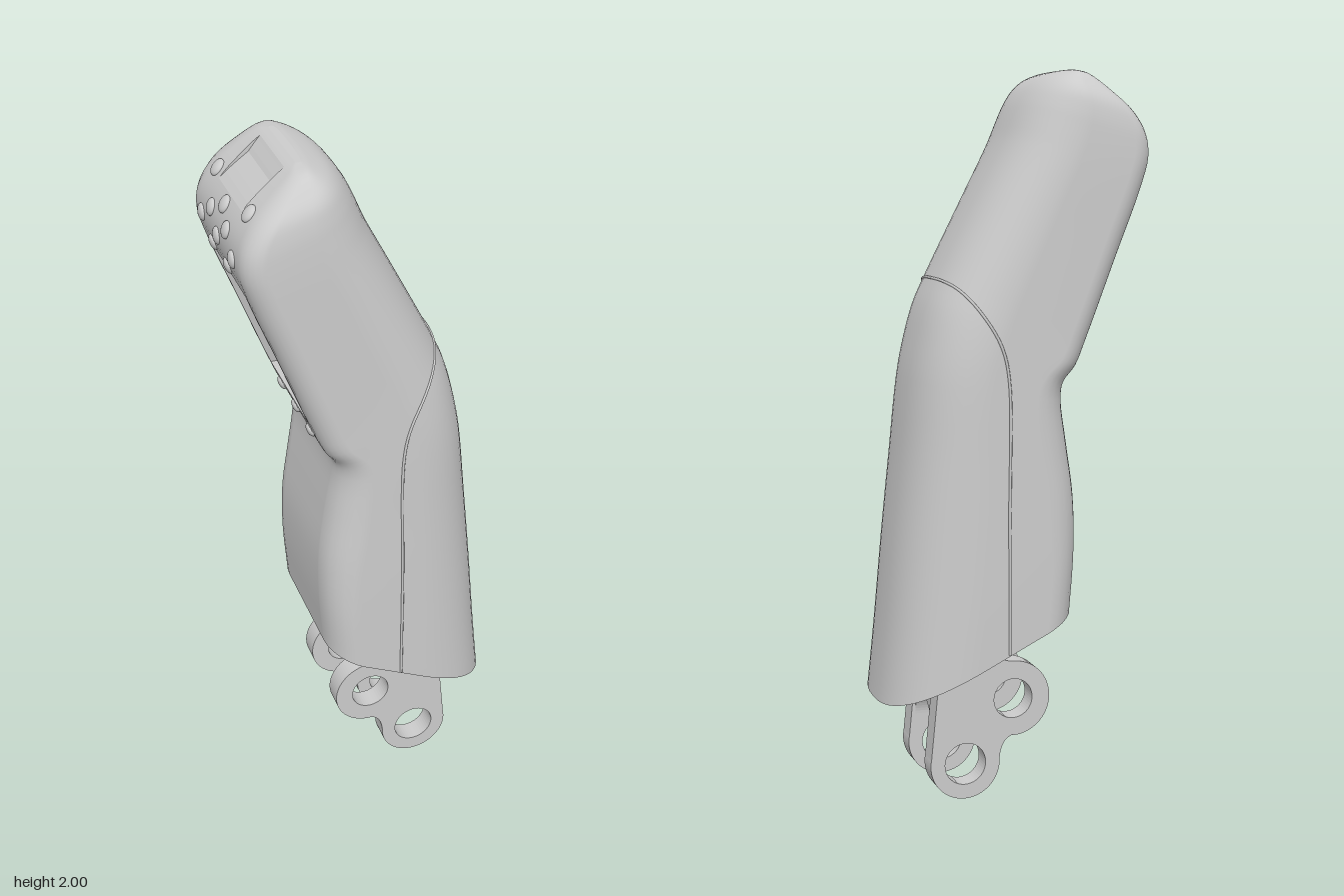
import * as THREE from 'three';

const V = (x, y, z) => new THREE.Vector3(x, y, z);
const material = new THREE.MeshStandardMaterial({ color: 0xcccccc, side: THREE.DoubleSide });

// Body sections: face-side x, y, back-side x, y, half width, face corner radius
const SECTIONS = [
  [-0.15, 0.53, 0.365, 0.275, 0.263, 0.1], [-0.162, 0.7, 0.345, 0.46, 0.263, 0.1],
  [-0.16, 0.85, 0.32, 0.72, 0.261, 0.1], [-0.14, 1.0, 0.295, 0.95, 0.258, 0.1],
  [-0.122, 1.12, 0.27, 1.17, 0.256, 0.09], [-0.125, 1.165, 0.25, 1.27, 0.255, 0.075],
  [-0.155, 1.21, 0.222, 1.37, 0.254, 0.06], [-0.185, 1.28, 0.185, 1.45, 0.253, 0.06],
  [-0.27, 1.5, 0.08, 1.655, 0.252, 0.06], [-0.343, 1.69, 0.0, 1.81, 0.252, 0.06],
  [-0.363, 1.765, -0.03, 1.88, 0.25, 0.06], [-0.357, 1.825, -0.05, 1.92, 0.246, 0.06],
  [-0.325, 1.885, -0.075, 1.955, 0.235, 0.06], [-0.27, 1.94, -0.105, 1.98, 0.207, 0.05],
  [-0.215, 1.985, -0.15, 1.997, 0.168, 0.028], [-0.19, 1.998, -0.17, 2.0, 0.115, 0.009],
];
const LAST = SECTIONS.length - 1, SUB = 4, POWER = 2.6;
const SCREEN = [7, 9], NOTCH = [12, 14];
const faceCurve = new THREE.CatmullRomCurve3(SECTIONS.map(s => V(s[0], s[1], s[4])));
const backCurve = new THREE.CatmullRomCurve3(SECTIONS.map(s => V(s[2], s[3], s[5])));

// Interpolated section at u (0..LAST)
function section(u) {
  const f = faceCurve.getPoint(u / LAST), b = backCurve.getPoint(u / LAST);
  const len = Math.hypot(b.x - f.x, b.y - f.y);
  const r = Math.min(b.z, len * 0.42), w = f.z, flat = w - r;
  const dx = (b.x - f.x) / len, dy = (b.y - f.y) / len;
  return {
    f, dx, dy, len, r, w, flat, back: len * 0.55,
    notch: Math.min(0.1, flat * 0.7), screen: Math.min(0.17, flat * 0.95),
    at: (s, z) => [f.x + dx * s, f.y + dy * s, z],
  };
}

// Half outline from the middle of the face round to the middle of the back
function halfOutline(u) {
  const c = section(u), pts = [c.at(0, 0), c.at(0, c.notch), c.at(0, c.screen)];
  for (let i = 0; i <= 6; i++) {
    const a = i / 6 * Math.PI / 2;
    pts.push(c.at(c.r * (1 - Math.cos(a)), c.flat + c.r * Math.sin(a)));
  }
  for (let i = 1; i <= 14; i++) {
    const a = i / 14 * Math.PI / 2;
    const s = c.len - c.back + c.back * Math.pow(Math.sin(a), 2 / POWER);
    pts.push(c.at(s, i === 14 ? 0 : c.w * Math.pow(Math.cos(a), 2 / POWER)));
  }
  return pts;
}

// Surface through rows of points; skip(i, j) leaves openings
function gridGeometry(rows, closed, skip = () => false) {
  const n = rows[0].length, index = [];
  for (let i = 0; i < rows.length - 1; i++) {
    for (let j = 0; j < (closed ? n : n - 1); j++) {
      if (skip(i, j, n)) continue;
      const k = (j + 1) % n, a = i * n + j, b = i * n + k;
      index.push(a, b, b + n, a, b + n, a + n);
    }
  }
  const g = new THREE.BufferGeometry();
  g.setAttribute('position', new THREE.Float32BufferAttribute(rows.flat(2), 3));
  g.setIndex(index);
  g.computeVertexNormals();
  return g;
}

// Flat cap over a ring
function capGeometry(ring, up) {
  const mid = [0, 1, 2].map(k => ring.reduce((s, p) => s + p[k], 0) / ring.length);
  const rows = [ring, ring.map(() => mid)];
  return gridGeometry(up ? rows : rows.reverse(), true);
}

// Sunken pocket in the face, following the openings left in the body
function pocketGeometry([u0, u1], key, inset, depth) {
  const count = (u1 - u0) * SUB, rows = [];
  const row = (u, d) => {
    const c = section(u), h = c[key];
    return [c.at(0, -h), c.at(d, inset - h), c.at(d, h - inset), c.at(0, h)];
  };
  rows.push(row(u0, 0));
  for (let i = 0; i <= count; i++) rows.push(row(u0 + i / SUB, depth(i / count)));
  rows.push(row(u1, 0));
  const g = gridGeometry(rows, false).toNonIndexed();
  g.computeVertexNormals();
  return g;
}

// Point on the body's +z side above a given x, y
function onSurface(x, y) {
  let lo = 0, hi = 9;
  for (let i = 0; i < 30; i++) {
    const u = (lo + hi) / 2, c = section(u);
    if (c.dx * (y - c.f.y) - c.dy * (x - c.f.x) > 0) lo = u; else hi = u;
  }
  const c = section(lo), s = (x - c.f.x) * c.dx + (y - c.f.y) * c.dy;
  const q = THREE.MathUtils.clamp((s - c.len + c.back) / c.back, 0, 1);
  return V(x, y, c.w * Math.pow(1 - Math.pow(q, POWER), 1 / POWER));
}

export function createModel() {
  const model = new THREE.Group();
  const add = (name, geometry, parent = model) => {
    const mesh = new THREE.Mesh(geometry, material);
    mesh.name = name;
    parent.add(mesh);
    return mesh;
  };

  // Body shell with openings for the screen and the notch
  const rings = [];
  for (let i = 0; i <= LAST * SUB; i++) {
    const half = halfOutline(i / SUB);
    rings.push([...half, ...half.slice(1, -1).reverse().map(([x, y, z]) => [x, y, -z])]);
  }
  const inside = (i, [a, b]) => i >= a * SUB && i < b * SUB;
  add('body', gridGeometry(rings, true, (i, j, n) => {
    const k = Math.min(j, n - 1 - j);
    return (inside(i, SCREEN) && k < 2) || (inside(i, NOTCH) && k < 1);
  }));
  add('bodyBase', capGeometry(rings[0], false));
  add('bodyTop', capGeometry(rings[rings.length - 1], true));
  add('screenRecess', pocketGeometry(SCREEN, 'screen', 0.02, () => 0.03));
  add('topNotch', pocketGeometry(NOTCH, 'notch', 0, t => 0.024 * (1 - Math.abs(2 * t - 1))));

  // Raised seam round the back panel
  const path = new THREE.CatmullRomCurve3([V(0.05, 0.435, 0), V(0.05, 0.8, 0), V(0.05, 1.18, 0),
    V(0.07, 1.27, 0), V(0.12, 1.36, 0), V(0.165, 1.42, 0), V(0.189, 1.441, 0)]);
  const side = path.getPoints(60).map(p => onSurface(p.x, p.y));
  const seam = [...side, ...side.slice(0, -1).reverse().map(p => V(p.x, p.y, -p.z))];
  add('panelSeam', new THREE.TubeGeometry(new THREE.CatmullRomCurve3(seam), 200, 0.004, 6));

  // Buttons: height on the face, z positions, radius
  const buttons = new THREE.Group();
  buttons.name = 'buttons';
  model.add(buttons);
  const dome = new THREE.SphereGeometry(1, 20, 12);
  for (const [y, zs, r] of [[1.895, [-0.142, 0.135], 0.024], [1.825, [-0.07, 0.065], 0.023],
    [1.78, [-0.14, 0, 0.135], 0.023], [1.727, [-0.07, 0.065], 0.022],
    [1.235, [-0.125, 0, 0.125], 0.02], [1.862, [0], 0.024]]) {
    let lo = 0, hi = 14;
    for (let i = 0; i < 30; i++) {
      const u = (lo + hi) / 2;
      if (faceCurve.getPoint(u / LAST).y < y) lo = u; else hi = u;
    }
    const p = faceCurve.getPoint(lo / LAST), q = faceCurve.getPoint((lo + 0.01) / LAST);
    for (const z of zs) {
      const b = add('button', dome, buttons);
      b.position.set(p.x, p.y, z);
      b.rotation.z = Math.atan2(q.y - p.y, q.x - p.x) - Math.PI / 2;
      b.scale.set(0.011, r, r);
    }
  }

  // Two bracket plates, each with two pin holes
  const plate = new THREE.Shape();
  plate.moveTo(0.22, 0.37);
  plate.lineTo(0.22, 0.3);
  plate.lineTo(0.238, 0.12);
  plate.absarc(0.14, 0.1, 0.1, 0.2, -Math.PI * 0.98, true);
  plate.quadraticCurveTo(0.04, 0.16, 0, 0.17);
  plate.absarc(0, 0.275, 0.107, -Math.PI / 2, -Math.PI * 1.5, true);
  plate.quadraticCurveTo(0.06, 0.385, 0.065, 0.46);
  plate.lineTo(0.2, 0.46);
  for (const [x, y, r] of [[0, 0.275, 0.056], [0.14, 0.1, 0.059]]) {
    plate.holes.push(new THREE.Path().absarc(x, y, r, 0, Math.PI * 2, false));
  }
  const plateGeometry = new THREE.ExtrudeGeometry(plate, { depth: 0.063, bevelEnabled: false, curveSegments: 24 });
  for (const z of [0.081, -0.144]) add('bracketPlate', plateGeometry).position.z = z;

  // Arched web joining the plates
  const arch = new THREE.Shape();
  arch.moveTo(0.082, 0.185);
  arch.lineTo(0.082, 0.37);
  arch.lineTo(-0.082, 0.37);
  arch.lineTo(-0.082, 0.185);
  arch.absarc(0, 0.185, 0.081, Math.PI, 0, true);
  const web = add('bracketWeb', new THREE.ExtrudeGeometry(arch, { depth: 0.12, bevelEnabled: false, curveSegments: 16 }));
  web.rotation.y = Math.PI / 2;
  web.position.x = 0.1;

  return model;
}
